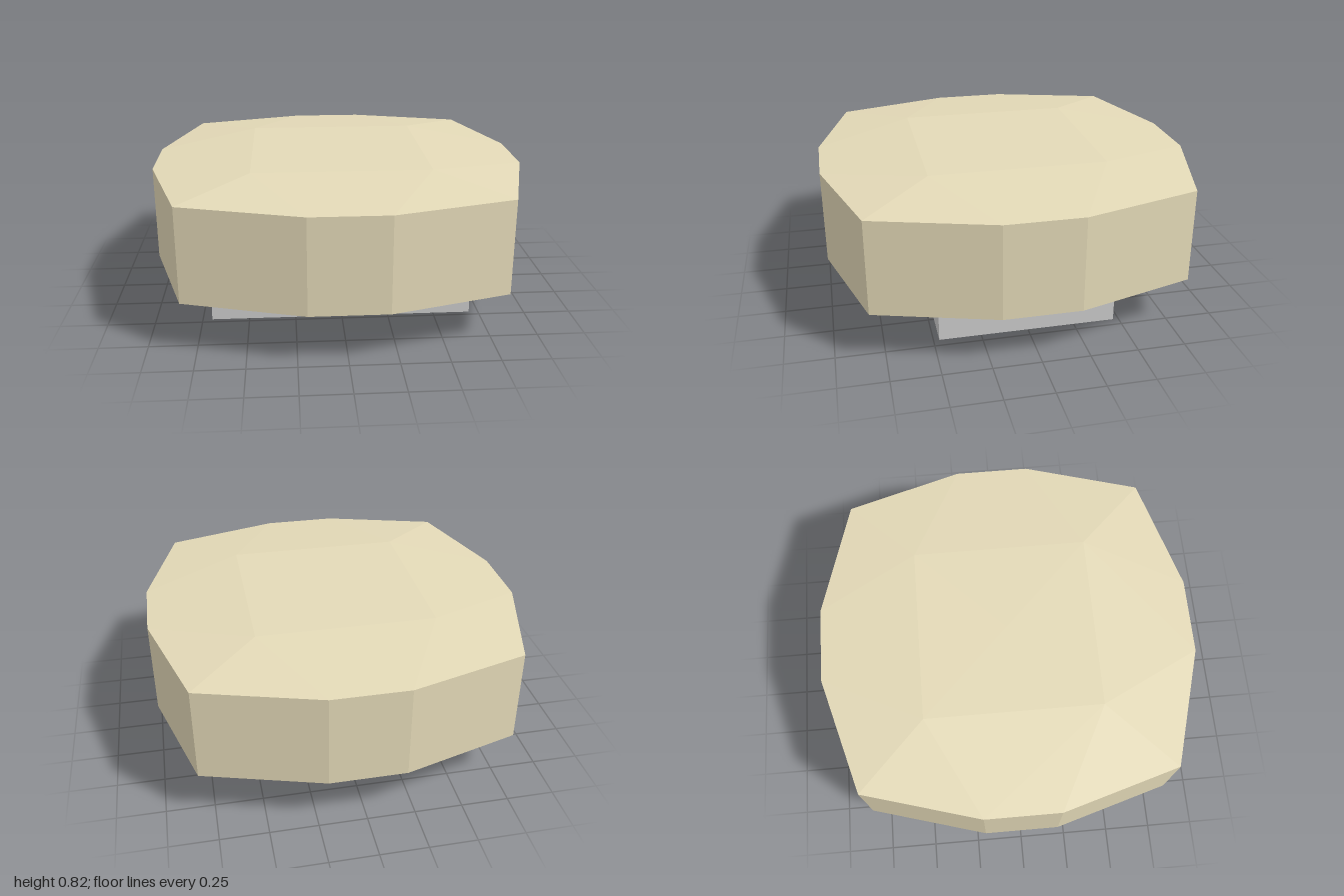
import * as THREE from 'three';

const material = (color) => new THREE.MeshStandardMaterial({ color, flatShading: true });
const grey = material(0xcccccc);

function addMesh(parent, name, geometry, mat) {
  const mesh = new THREE.Mesh(geometry, mat);
  mesh.name = name;
  parent.add(mesh);
  return mesh;
}

// Faceted geometry through a stack of 12-point rings, listed bottom to top, capped at both ends
function stackRings(rings) {
  const positions = [];
  const tri = (a, b, c) => {
    if (a.equals(b) || b.equals(c) || c.equals(a)) return;
    for (const p of [a, b, c]) positions.push(p.x, p.y, p.z);
  };
  const n = rings[0].length;
  const top = rings[rings.length - 1];
  const bottomCentre = new THREE.Vector3(0, rings[0][0].y, 0);
  const topCentre = new THREE.Vector3(0, top[0].y, 0);
  for (let i = 0; i < n; i++) {
    const j = (i + 1) % n;
    for (let r = 0; r < rings.length - 1; r++) {
      const low = rings[r], high = rings[r + 1];
      tri(low[j], low[i], high[i]);
      tri(low[j], high[i], high[j]);
    }
    tri(bottomCentre, rings[0][i], rings[0][j]);
    tri(topCentre, top[j], top[i]);
  }
  const geometry = new THREE.BufferGeometry();
  geometry.setAttribute('position', new THREE.Float32BufferAttribute(positions, 3));
  geometry.computeVertexNormals();
  return geometry;
}

// Rectangular frame around a square opening, rising from y0 to y1 (half sizes)
function frame(halfX, halfZ, opening, y0, y1) {
  const rectangle = (PathType, x, z) => new PathType([
    new THREE.Vector2(-x, -z), new THREE.Vector2(x, -z),
    new THREE.Vector2(x, z), new THREE.Vector2(-x, z),
  ]);
  const shape = rectangle(THREE.Shape, halfX, halfZ);
  shape.holes.push(rectangle(THREE.Path, opening, opening));
  const geometry = new THREE.ExtrudeGeometry(shape, { depth: y1 - y0, bevelEnabled: false });
  return geometry.rotateX(-Math.PI / 2).translate(0, y0, 0);
}

export function createModel() {
  const model = new THREE.Group();
  model.name = 'cappedPlug';

  // Twelve-sided cap: one quarter of the outline turned four times
  const outline = [];
  for (let k = 0; k < 4; k++) {
    for (let [x, z] of [[1, 0.2], [0.82, 0.82], [0.2, 1]]) {
      for (let t = 0; t < k; t++) [x, z] = [-z, x];
      outline.push([x, z]);
    }
  }
  const outer = (y) => outline.map(([x, z]) => new THREE.Vector3(x, y, z));
  const inner = (y, halfX, halfZ) => outline.map(([x, z]) =>
    new THREE.Vector3(Math.sign(x) * halfX, y, Math.sign(z) * halfZ));
  addMesh(model, 'cap', stackRings([
    inner(0.22, 0.7, 0.47), outer(0.27), outer(0.77), inner(0.82, 0.47, 0.47),
  ]), material(0xe3d9b7));

  // Rectangular base with a square socket open to below
  addMesh(model, 'base', frame(0.7, 0.47, 0.4, 0, 0.22), grey);
  addMesh(model, 'socketDarkBand', frame(0.4, 0.4, 0.396, 0.045, 0.165), material(0x3d3d3d));
  addMesh(model, 'socketGreyBand', frame(0.4, 0.4, 0.396, 0.165, 0.219), material(0x666666));

  // Circuit board at the end of the socket
  const board = new THREE.BoxGeometry(0.79, 0.006, 0.79).translate(0, 0.216, 0);
  addMesh(model, 'circuitBoard', board, material(0xd1ffd9));

  // Meandering track on the board
  const track = new THREE.Group();
  track.name = 'circuitTrack';
  model.add(track);
  const dark = material(0x4d6552);
  const width = 0.06;
  const path = [[-0.27, -0.36], [-0.27, -0.07], [0.08, -0.07], [0.08, 0.28], [-0.27, 0.28], [-0.27, 0.36]];
  for (let i = 0; i < path.length - 1; i++) {
    const [x0, z0] = path[i], [x1, z1] = path[i + 1];
    const segment = new THREE.BoxGeometry(Math.abs(x1 - x0) + width, 0.004, Math.abs(z1 - z0) + width);
    addMesh(track, 'trackSegment', segment, dark).position.set((x0 + x1) / 2, 0.212, (z0 + z1) / 2);
  }
  return model;
}
